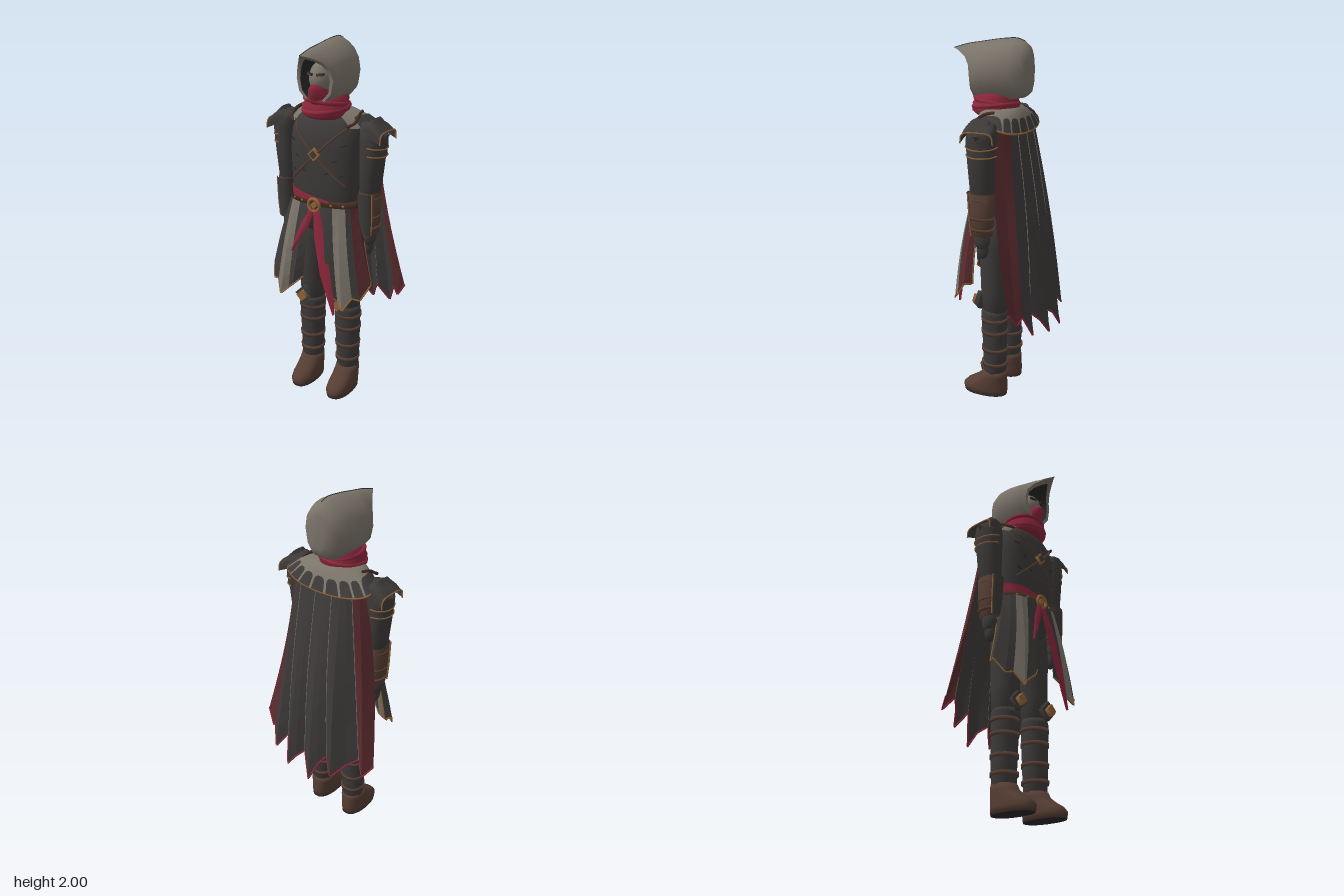
import * as THREE from 'three';

const mat = (name, color) => {
  const m = new THREE.MeshStandardMaterial({ color, side: THREE.DoubleSide });
  m.name = name;
  return m;
};
const V = (x, y, z) => new THREE.Vector3(x, y, z);

// Surface through rows of points; closed rows wrap around
function loft(rows, closed = true, cap = false) {
  if (cap) {
    const mid = r => { const c = r.reduce((a, p) => a.add(p), V(0, 0, 0)).divideScalar(r.length); return r.map(() => c); };
    rows = [mid(rows[0]), ...rows, mid(rows[rows.length - 1])];
  }
  const n = rows[0].length, pos = [], idx = [];
  rows.forEach(r => r.forEach(p => pos.push(p.x, p.y, p.z)));
  for (let j = 0; j < rows.length - 1; j++)
    for (let i = 0; i < (closed ? n : n - 1); i++) {
      const a = j * n + i, b = j * n + (i + 1) % n;
      idx.push(a, a + n, b, b, a + n, b + n);
    }
  const g = new THREE.BufferGeometry();
  g.setAttribute('position', new THREE.Float32BufferAttribute(pos, 3));
  g.setIndex(idx);
  g.computeVertexNormals();
  return g;
}
const flat = g => { const f = g.toNonIndexed(); f.computeVertexNormals(); return f; };
const spread = (a, b, n, f) => Array.from({ length: n + 1 }, (_, i) => f(a + (b - a) * i / n));

// Point on, and full ring of, a horizontal superellipse
const pw = (v, e) => Math.sign(v) * Math.abs(v) ** (2 / e);
const ringPoint = ([y, x, rx, zf, zb], e, t) =>
  V(x + rx * pw(Math.cos(t), e), y, (zf + zb) / 2 + (zf - zb) / 2 * pw(Math.sin(t), e));
const ring = (sec, e = 2, n = 28) => Array.from({ length: n }, (_, i) => ringPoint(sec, e, i / n * Math.PI * 2));
const body = (secs, e) => loft(secs.map(s => ring(s, e)), true, true);
const tube = (pts, r, straight = true) => new THREE.TubeGeometry(
  new THREE.CatmullRomCurve3(pts, false, 'catmullrom', straight ? 0 : 0.5), pts.length * 6, r, 5);

export function createModel() {
  const stone = mat('stone cloth', 0x7b746a), charcoal = mat('charcoal', 0x3d3a39), red = mat('red cloth', 0x8c273b),
    darkRed = mat('dark red', 0x582a2d), brown = mat('brown leather', 0x553d33), leather = mat('dark leather', 0x452f25),
    gold = mat('gold trim', 0x8f6438), black = mat('near black', 0x2a2829);
  const root = new THREE.Group();
  const add = (name, geo, m, parent = root, p = [0, 0, 0], r = [0, 0, 0], s = [1, 1, 1]) => {
    const o = new THREE.Mesh(geo, m);
    o.name = name;
    o.position.set(...p); o.rotation.set(...r); o.scale.set(...s);
    parent.add(o);
  };

  // Hood: arched sections from the rounded back to the thin leaning peak
  const arch = [[0, 0], [.5, .015], [.88, .19], [1, .46], [.9, .68], [.64, .84], [.32, .94], [0, 1]];
  const archRow = ([w, yt, yb, zt, zb]) => {
    const half = arch.map(([s, h]) => V(s * w, yb + (yt - yb) * h, zb + (zt - zb) * h ** 7));
    return [...half.map(p => V(-p.x, p.y, p.z)), ...half.slice(0, -1).reverse()];
  };
  const hoodRows = [[0, 1.86, 1.84, -.139, -.139], [.045, 1.93, 1.76, -.138, -.136], [.075, 1.96, 1.725, -.13, -.126], [.106, 1.985, 1.7, -.1, -.098],
    [.13, 2, 1.69, -.05, -.045], [.137, 1.993, 1.69, .04, .035], [.132, 1.978, 1.69, .14, .1], [.122, 1.965, 1.695, .22, .14], [.107, 1.943, 1.7, .3, .17]].map(archRow);
  add('hood', loft(hoodRows, false), stone);
  const rim = [[.107, 1.943, 1.7, .3, .17], [.088, 1.92, 1.71, .25, .168]].map(archRow);
  add('hoodRim', loft(rim, false), stone);
  add('hoodLining', loft([rim[1], archRow([.092, 1.92, 1.7, .15, .1]), archRow([.09, 1.91, 1.7, 0, 0]), archRow([.01, 1.88, 1.7, -.07, -.07])], false), black);
  add('hoodSeam', tube(hoodRows.slice(3).map(r => r[7]), .0025, false), charcoal);

  // Face, mask and scarf
  add('face', new THREE.SphereGeometry(1, 24, 16), stone, root, [0, 1.81, .085], [0, 0, 0], [.068, .088, .09]);
  for (const s of [-1, 1]) {
    add('eyeSocket', new THREE.BoxGeometry(.04, .013, .008), black, root, [s * .031, 1.835, .166], [0, s * .4, s * .12]);
    add('eye', new THREE.BoxGeometry(.03, .008, .008), brown, root, [s * .031, 1.834, .17], [0, s * .4, s * .12]);
  }
  add('mask', body([[1.68, 0, .06, .17, .04], [1.72, 0, .058, .19, .04], [1.76, 0, .045, .205, .05], [1.785, 0, .025, .195, .07]], 2), red);
  add('scarf', body([[1.61, 0, .112, .165, -.05], [1.63, 0, .127, .19, -.062], [1.652, 0, .121, .18, -.057], [1.668, 0, .127, .187, -.063], [1.69, 0, .112, .17, -.056],
    [1.703, 0, .116, .176, -.06], [1.725, 0, .1, .16, -.052], [1.74, 0, .085, .14, -.045]]), red);
  for (const [y, r, tilt] of [[1.655, .118, .1], [1.69, .109, -.12]])
    add('scarfFold', new THREE.TorusGeometry(r, .013, 8, 32), red, root, [0, y, .062], [Math.PI / 2 + tilt, tilt * .7, 0]);

  // Torso
  const torso = [[.98, 0, .16, .12, -.06], [1.13, 0, .19, .16, -.07], [1.25, 0, .2, .17, -.08], [1.45, 0, .205, .178, -.09],
    [1.54, 0, .197, .165, -.09], [1.59, 0, .175, .145, -.08], [1.63, 0, .13, .12, -.05]];
  add('torso', body(torso, 2.6), charcoal);
  const chestZ = (x, y) => {
    const i = Math.max(1, torso.findIndex(s => s[0] >= y)), a = torso[i - 1], b = torso[i], k = (y - a[0]) / (b[0] - a[0]);
    const [rx, zf, zb] = [2, 3, 4].map(j => a[j] + (b[j] - a[j]) * k), c = (zf + zb) / 2;
    return c + (zf - c) * Math.max(0, 1 - Math.abs(x / rx) ** 2.6) ** (1 / 2.6);
  };
  const onChest = (x, y, d = .004) => V(x, y, chestZ(x, y) + d);
  const path = (x0, y0, x1, y1) => spread(0, 1, 8, k => onChest(x0 + (x1 - x0) * k, y0 + (y1 - y0) * k));
  for (const s of [-1, 1]) {
    add('chestStrap', tube(path(s * .165, 1.58, -s * .16, 1.27), .006), brown);
    for (const [x, y] of [[.06, 1.33], [.1, 1.4], [.14, 1.48], [.13, 1.32]])
      add('chestStitch', tube(path(s * x, y, s * (x + .025), y + .012), .003), black);
  }
  const diamond = (r, t) => new THREE.CylinderGeometry(r, r, t, 4).rotateX(Math.PI / 2);
  add('chestClasp', diamond(.036, .014), gold, root, [0, 1.43, .184]);
  add('chestClaspCentre', diamond(.022, .02), charcoal, root, [0, 1.43, .186]);

  // Belt, buckle and sash
  add('belt', body([[1.138, 0, .194, .172, -.075], [1.18, 0, .2, .174, -.08]], 2.6), leather);
  add('buckle', new THREE.TorusGeometry(.034, .009, 8, 24), gold, root, [0, 1.155, .19]);
  add('buckleCentre', diamond(.02, .016), gold, root, [0, 1.155, .188]);
  for (const x of [-.15, -.09, .09, .15]) add('beltStud', new THREE.SphereGeometry(.008, 8, 6), gold, root, [x, 1.16, chestZ(x, 1.16) + .008]);
  const sashX = [-.196, -.18, -.14, -.09, -.04, .02, .08];
  add('waistSash', loft([sashX.map(x => onChest(x, 1.175, .014)), sashX.map(x => onChest(x, 1.196 - x * .17, .009))], false), red);
  const tail = (name, pts) => add(name, loft(pts.map(([x, y, z, w]) => [V(x + w, y, z - .005), V(x, y, z + .008), V(x - w, y, z - .005)]), false), red);
  tail('longSashTail', [[.01, 1.14, .188, .02], [.045, .98, .212, .034], [.09, .78, .23, .034], [.125, .65, .232, .022], [.145, .56, .23, .003]]);
  tail('shortSashTail', [[-.01, 1.14, .188, .018], [-.05, 1.04, .205, .024], [-.09, .95, .225, .016], [-.12, .88, .23, .002]]);

  // Cape: pleats widening to a jagged hem, front edges swinging forward
  const hem = [[-.385, .58, -.13], [-.352, .53, -.19], [-.3, .6, -.152], [-.245, .56, -.2], [-.19, .49, -.268], [-.16, .53, -.25], [-.13, .58, -.225],
    [-.095, .53, -.26], [-.055, .42, -.3], [-.015, .5, -.27], [.03, .54, -.23], [.07, .5, -.265], [.11, .44, -.293], [.145, .52, -.25], [.18, .57, -.205],
    [.245, .47, -.245], [.29, .59, -.2], [.325, .55, -.18], [.38, .64, -.155]].map(p => V(...p));
  const capeRow = k => hem.map((p, i) => {
    const t = i / (hem.length - 1) * 2 - 1;
    return V(t * .235, 1.57 - .03 * (1 - t * t), -.035 - .08 * (1 - t ** 4)).lerp(p, k)
      .add(V(0, 0, (.055 * t ** 4 - .02) * Math.sin(k * Math.PI)));
  });
  const capeRows = spread(0, 1, 8, capeRow);
  const capePart = (a, b) => flat(loft(capeRows.map(r => r.slice(a, b + 1)), false));
  add('cape', capePart(2, 16), charcoal);
  add('capeSideRight', capePart(0, 2), darkRed);
  add('capeSideLeft', capePart(16, 18), darkRed);
  add('capeHem', tube(hem, .005), red);
  for (const i of [2, 6, 10, 14]) add('capeSeam', tube(capeRows.map(r => r[i].clone().add(V(0, 0, -.002))), .002), stone);

  // Mantle over the shoulders, with dark scallops and a gold edge
  const mantle = (a, k, up = 0) => {
    const c = Math.cos(a), s = Math.sin(a), sp = Math.max(0, s);
    return V(c * (.095 + .175 * k), 1.65 - (.08 + .04 * sp) * k ** 1.3 + .012 * Math.sin(k * Math.PI) + up,
      (.03 - .1 * s) * (1 - k) + (-.05 - (s > 0 ? .085 : .2) * s) * k - up * sp);
  };
  add('mantle', loft(spread(0, 1, 4, k => spread(-.9, Math.PI + .9, 36, a => mantle(a, k))), false), stone);
  add('mantleEdge', tube(spread(0, Math.PI, 24, a => mantle(a, 1)), .005, false), gold);
  const scallop = (a, rows) => add('mantleScallop', loft(rows.map(([k, w]) => spread(a - w, a + w, 5, t => mantle(t, k, .006))), false), charcoal);
  for (let i = 0; i < 7; i++) scallop(.5 + i * (Math.PI - 1) / 6, [[.6, .06], [.64, .12], [.72, .145], [1, .15]]);
  for (const a of [-.2, Math.PI + .2]) scallop(a, [[.58, .25], [.64, .4], [.8, .46], [1, .48]]);

  // Everything that exists on both sides, built on the left
  const buildSide = (parent, sidePanel) => {
    // Arm and hand
    add('arm', body([[1.2, .252, .05, .1, -.025], [1.4, .262, .062, .11, -.035], [1.52, .267, .068, .115, -.045], [1.57, .262, .064, .105, -.04], [1.6, .245, .045, .08, -.015]], 2.2), charcoal, parent);
    const bracer = [[1.01, .257, .043, .095, -.015], [1.1, .257, .051, .102, -.024], [1.24, .255, .055, .11, -.032]];
    add('bracer', body(bracer, 2.2), brown, parent);
    for (const y of [1.04, 1.1, 1.2]) add('bracerStrap', body([[y, .257, .052, .104, -.026], [y + .013, .257, .054, .106, -.028]], 2.2), brown, parent);
    const guard = bracer.map(([y, x, rx, zf, zb]) => spread(.85, 2.6, 12, t => ringPoint([y, x, rx + .006, zf + .01, zb - .01], 2.2, t)));
    add('forearmGuard', loft(guard, false), charcoal, parent);
    add('forearmGuardEdge', tube(guard.map(r => r[0]), .004), gold, parent);
    add('hand', new THREE.SphereGeometry(1, 16, 12), charcoal, parent, [.256, .985, .042], [0, 0, 0], [.035, .06, .045]);
    add('fingers', new THREE.SphereGeometry(1, 14, 10), charcoal, parent, [.25, .93, .042], [0, 0, 0], [.028, .055, .034]);
    add('thumb', new THREE.SphereGeometry(1, 10, 8), charcoal, parent, [.235, .96, .08], [.3, 0, 0], [.014, .045, .015]);

    // Shoulder: strap, arched cap sloping outwards, then two plates with gold edges
    add('shoulderStrap', tube([V(.163, 1.583, .135), V(.19, 1.6, .1), V(.187, 1.632, .05), V(.178, 1.642, 0)], .008, false), leather, parent);
    const capArch = (x, y, h, d) => spread(0, Math.PI, 14, t => V(x, y + h * pw(Math.sin(t), 4), .03 + d * pw(Math.cos(t), 4)));
    const pauldron = [capArch(.24, 1.54, .065, .074), capArch(.275, 1.54, .072, .08), capArch(.31, 1.525, .07, .085), capArch(.344, 1.51, .056, .086)];
    add('shoulderCap', loft(pauldron, false), charcoal, parent);
    add('shoulderCapEdge', tube(pauldron[3], .004), gold, parent);
    add('shoulderCrest', flat(loft([capArch(.262, 1.53, .075, .05), capArch(.28, 1.53, .098, .06), capArch(.31, 1.52, .08, .06)], false)), charcoal, parent);
    [[1.515, .069, .078], [1.47, .066, .074]].forEach(([y, r0, r1], i) => {
      const g = new THREE.Group();
      g.name = 'shoulderPlate';
      g.position.set(.264, y, .033);
      g.rotation.z = -.18 + i * .06;
      g.scale.z = 1.1;
      parent.add(g);
      add('plate', new THREE.CylinderGeometry(r0, r1, .055, 20, 1, true, .15, Math.PI - .3), charcoal, g);
      add('plateEdge', new THREE.TorusGeometry(r1, .004, 6, 20, Math.PI - .3), gold, g, [0, -.0275, 0], [Math.PI / 2, 0, -Math.PI / 2 + .15]);
    });
    add('shoulderSpike', new THREE.ConeGeometry(.022, .03, 4), charcoal, parent, [.342, 1.545, .035], [0, 0, -1.2]);

    // Leg, bands and knee guard
    add('thigh', body([[.5, .118, .066, .09, -.04], [.65, .115, .074, .105, -.05], [.9, .105, .088, .115, -.058], [1.08, .095, .092, .11, -.06]]), charcoal, parent);
    add('shin', body([[.1, .12, .06, .09, -.035], [.25, .12, .066, .094, -.04], [.4, .118, .071, .1, -.042], [.51, .117, .074, .105, -.045], [.535, .117, .068, .098, -.04]]), charcoal, parent);
    for (const [y, r] of [[.19, .068], [.28, .071], [.39, .075], [.465, .077]])
      add('shinBand', body([[y, .119, r, .103, -.047], [y + .02, .119, r + .001, .105, -.048]]), brown, parent);
    add('kneePlate', diamond(.055, .025), charcoal, parent, [.117, .57, .118]);
    add('kneeDiamond', diamond(.034, .025), gold, parent, [.117, .57, .14]);
    add('boot', body([[.004, .12, .066, .215, -.042], [.035, .12, .069, .221, -.045], [.06, .12, .068, .2, -.044], [.09, .12, .066, .15, -.042], [.12, .12, .065, .11, -.04], [.15, .12, .061, .095, -.038]], 2.3), brown, parent);
    add('sole', body([[0, .12, .066, .213, -.042], [.005, .12, .066, .215, -.042]], 2.3), black, parent);

    // Skirt panels: waist corner to hem corner, one colour per run
    const top = [[.02, .178], [.05, .178], [.1, .17], [.135, .16], [.165, .145], [.185, .125], [.207, .09], [.207, .06]];
    const low = [[.065, .73, .205], [.115, .68, .235], [.16, .64, .213], [.2, .6, .235], [.24, .67, .195], [.28, .66, .178], [.315, .74, .125], [.292, .74, .085]];
    const skirtRows = spread(0, 1, 6, k => low.map((p, i) => V(top[i][0], 1.15, top[i][1]).lerp(V(...p), k).add(V(0, 0, .012 * Math.sin(k * Math.PI)))));
    for (const [name, a, b, m] of [['skirtFront', 0, 2, charcoal], ['skirtStripe', 2, 4, stone], ['skirtFold', 4, 5, charcoal], ['skirtSide', 5, 7, sidePanel]])
      add(name, flat(loft(skirtRows.map(r => r.slice(a, b + 1)), false)), m, parent);
    add('skirtTrim', tube([...skirtRows[6], ...skirtRows.map(r => r[7]).reverse().slice(1)], .0045), gold, parent);
  };
  for (const [name, s, sidePanel] of [['leftSide', 1, darkRed], ['rightSide', -1, charcoal]]) {
    const g = new THREE.Group();
    g.name = name;
    g.scale.x = s;
    buildSide(g, sidePanel);
    root.add(g);
  }
  return root;
}
